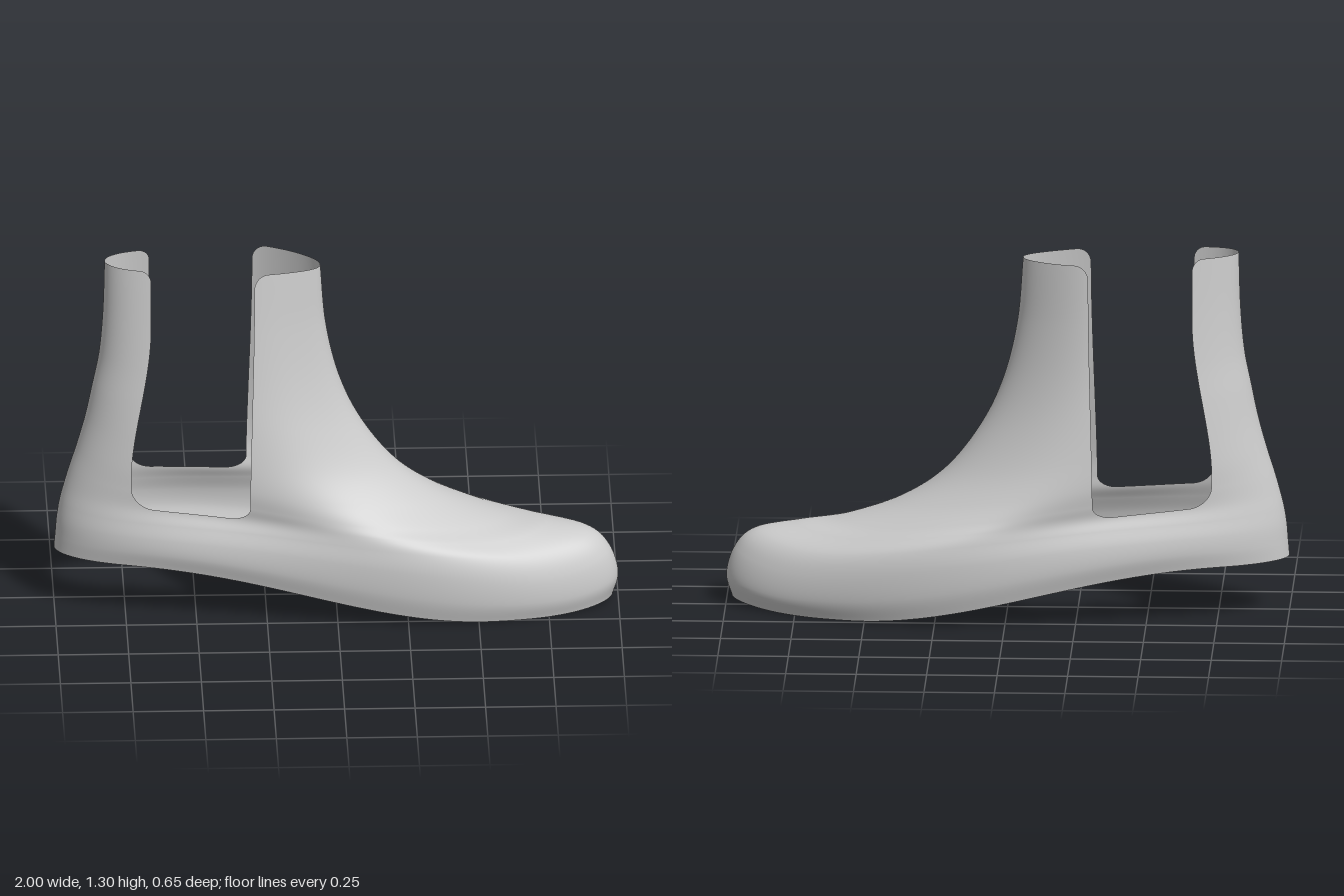
import * as THREE from 'three';

// Rings from sole to rim: back x, back y, front x, front y, half width, waist, toe shift in z, toe droop
const RINGS = [
  [-1.0, 0.20, 0.98, 0.02, 0.290, 0.10, 0.06, 0.02],
  [-0.995, 0.26, 1.0, 0.10, 0.308, 0.10, 0.06, 0.038],
  [-0.99, 0.32, 0.97, 0.20, 0.307, 0.12, 0.06, 0.052],
  [-0.98, 0.38, 0.90, 0.265, 0.291, 0.15, 0.055, 0.048],
  [-0.965, 0.44, 0.75, 0.295, 0.272, 0.18, 0.045, 0.03],
  [-0.945, 0.51, 0.60, 0.315, 0.262, 0.15, 0.03, 0.01],
  [-0.92, 0.59, 0.40, 0.385, 0.249, 0.12, 0.01, 0],
  [-0.89, 0.70, 0.23, 0.497, 0.229, 0.10, 0, 0],
  [-0.865, 0.82, 0.10, 0.66, 0.205, 0.10, 0, 0],
  [-0.84, 0.95, 0.015, 0.84, 0.180, 0.11, 0, 0],
  [-0.826, 1.11, -0.035, 1.05, 0.155, 0.13, 0, 0],
  [-0.82, 1.305, -0.055, 1.28, 0.130, 0.15, 0, 0],
];
const LAST = RINGS.length - 1;
const NOTCH = 4; // ring that forms the floor of the side openings
const NOTCH_Y = RINGS[NOTCH][1], RIM_Y = RINGS[LAST][1];

const spline = new THREE.CubicInterpolant(RINGS.map((_, i) => i), RINGS.flat(), RINGS[0].length);
const ringAt = (v) => Array.from(spline.evaluate(THREE.MathUtils.clamp(v, 0, LAST)));

// Point of the shell: angle 0 is the heel line, PI the instep line
function shellPoint(angle, v) {
  const [bx, by, fx, fy, half, waist, toe, droop] = ringAt(v);
  const c = -Math.cos(angle);
  const t = (c + 1) / 2;
  const width = half * (1 + waist * Math.sin(Math.PI * c) * (1 - c * c));
  // The midline leans to one side, at the arch low down and at the shin higher up
  const lean = (0.015 + 0.0007 * v) * (1 - c * c) * (1 + c * THREE.MathUtils.lerp(-0.8, 1, v / LAST));
  // The sole curves down to the ball of the foot; higher rings are straight in profile
  const sole = 1 - THREE.MathUtils.smoothstep(v, 0, NOTCH);
  const slope = THREE.MathUtils.lerp(t, THREE.MathUtils.smoothstep(t, 0.12, 0.78), sole);
  return new THREE.Vector3(
    THREE.MathUtils.lerp(bx, fx, t),
    THREE.MathUtils.lerp(by, fy, slope) - droop * Math.sin(Math.PI * t ** 5),
    toe * Math.max(c, 0) ** 2 - lean + width * Math.sin(angle)
  );
}

function shellNormal(angle, v) {
  const e = 0.004;
  const lo = Math.max(0, v - e), hi = Math.min(LAST, v + e);
  const around = shellPoint(angle + e, v).sub(shellPoint(angle - e, v));
  const up = shellPoint(angle, hi).sub(shellPoint(angle, lo));
  return around.cross(up).normalize();
}

// Patch of the shell; range(v) gives its first and last angle on that ring
function shellPatch(name, levels, columns, range, material) {
  const positions = [], normals = [], index = [];
  levels.forEach((v, row) => {
    const [from, to] = range(v);
    for (let i = 0; i <= columns; i++) {
      const angle = THREE.MathUtils.lerp(from, to, i / columns);
      positions.push(...shellPoint(angle, v).toArray());
      normals.push(...shellNormal(angle, v).toArray());
      if (row < levels.length - 1 && i < columns) {
        const a = row * (columns + 1) + i, b = a + columns + 1;
        index.push(a, a + 1, b + 1, a, b + 1, b);
      }
    }
  });
  const geometry = new THREE.BufferGeometry();
  geometry.setAttribute('position', new THREE.Float32BufferAttribute(positions, 3));
  geometry.setAttribute('normal', new THREE.Float32BufferAttribute(normals, 3));
  geometry.setIndex(index);
  const mesh = new THREE.Mesh(geometry, material);
  mesh.name = name;
  return mesh;
}

// How far a rounded corner of radius r pulls the edge in at distance d
const corner = (d, r) => (d < r ? r - Math.sqrt(Math.max(0, r * r - (r - d) ** 2)) : 0);

const angleAtX = (ring, x) =>
  Math.acos(THREE.MathUtils.clamp(1 - (2 * (x - ring[0])) / (ring[2] - ring[0]), -1, 1));

// Edge of the heel strip
function heelEdge(v) {
  const ring = ringAt(v), y = ring[1];
  const x = -0.73 + 0.072 * THREE.MathUtils.smoothstep(y, 0.55, 1.1)
    + corner(y - NOTCH_Y, 0.08) - corner(RIM_Y - y, 0.04);
  return angleAtX(ring, x);
}

// Edge of the instep strip
function instepEdge(v) {
  const ring = ringAt(v), y = ring[1];
  const x = -0.31 + 0.018 * THREE.MathUtils.smoothstep(y, 0.5, 1.25)
    - corner(y - NOTCH_Y, 0.07) + corner(RIM_Y - y, 0.05);
  return angleAtX(ring, x);
}

export function createModel() {
  const group = new THREE.Group();
  group.name = 'footShell';
  const material = new THREE.MeshStandardMaterial({ color: 0xcccccc, side: THREE.DoubleSide });

  const lower = Array.from({ length: 33 }, (_, i) => (NOTCH * i) / 32);
  // Levels bunch up at the rounded corners and start just below the seam to close it
  const upper = Array.from({ length: 97 }, (_, i) =>
    NOTCH + ((LAST - NOTCH) * (1 - Math.cos((Math.PI * i) / 96))) / 2);
  upper.unshift(NOTCH - 0.02);

  group.add(
    shellPatch('lowerFoot', lower, 192, () => [0, 2 * Math.PI], material),
    shellPatch('heelStrip', upper, 64, (v) => [-heelEdge(v), heelEdge(v)], material),
    shellPatch('instepAndShin', upper, 112, (v) => [instepEdge(v), 2 * Math.PI - instepEdge(v)], material)
  );
  return group;
}
